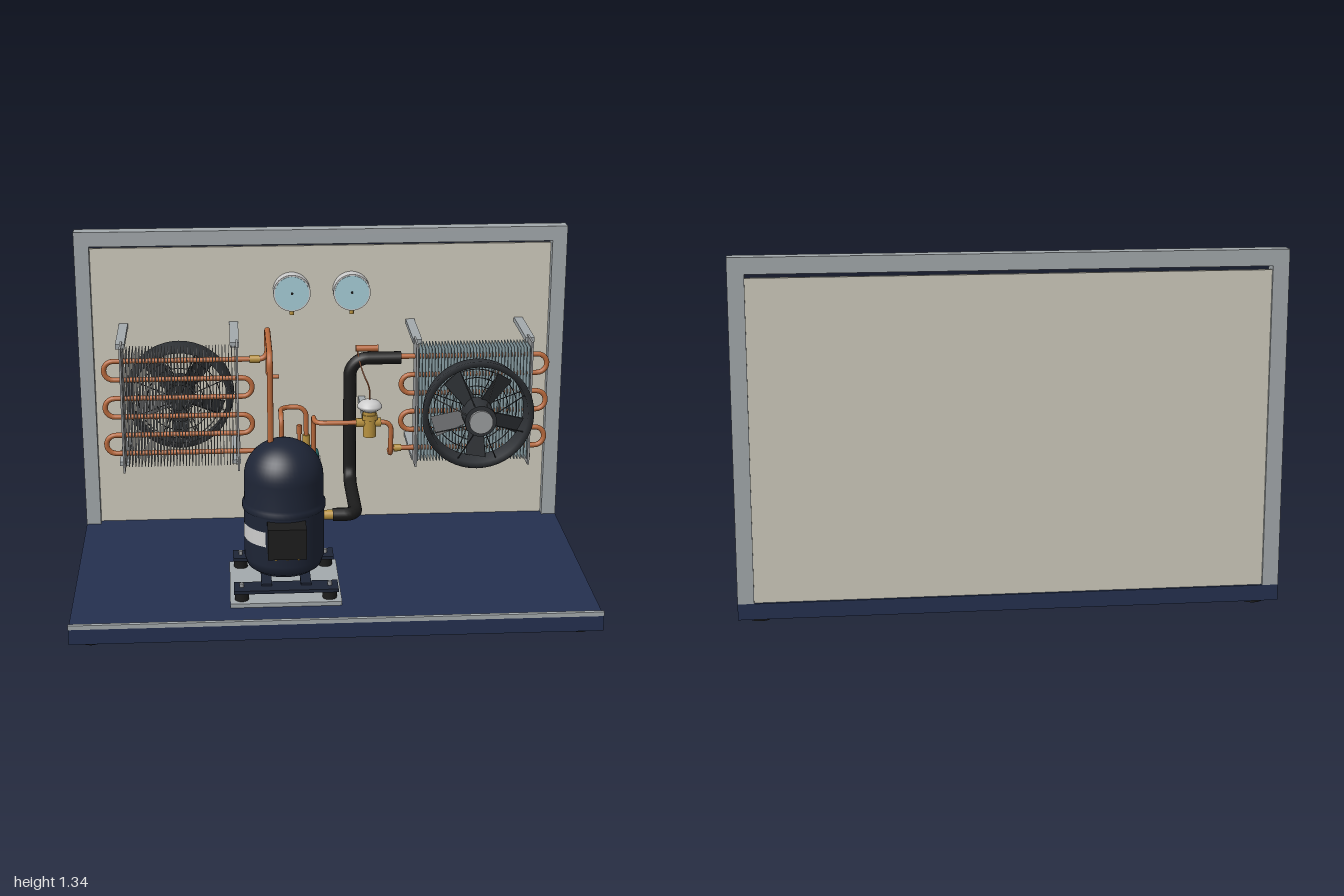
import * as THREE from 'three';

const mat = (color) => new THREE.MeshStandardMaterial({ color });
const M = {
  navy: mat(0x24304f), steel: mat(0xa3a9ac), panel: mat(0xcfcbbd), shell: mat(0x1e2536), black: mat(0x1c1c1c),
  fan: mat(0x2f3236), copper: mat(0xb8693c), brass: mat(0xb8923f), teal: mat(0x1f6a6c), fin: mat(0x9a9c9e),
  coldFin: mat(0x8ea4ab), glass: mat(0xa6cdd8), white: mat(0xdedede), grey: mat(0xcccccc),
};
const V = (p) => new THREE.Vector3(...p);

export function createModel() {
  const root = new THREE.Group();

  const add = (name, geo, m, pos = [0, 0, 0], parent = root) => {
    const mesh = new THREE.Mesh(geo, m);
    mesh.name = name;
    mesh.position.set(...pos);
    parent.add(mesh);
    return mesh;
  };
  // box given by its min and max along each axis
  const box = (name, [x0, x1], [y0, y1], [z0, z1], m, parent = root) =>
    add(name, new THREE.BoxGeometry(x1 - x0, y1 - y0, z1 - z0), m,
      [(x0 + x1) / 2, (y0 + y1) / 2, (z0 + z1) / 2], parent);
  // cylinder between two points
  const rod = (name, a, b, r, m, parent = root, sides = 24, r2 = r) => {
    const A = V(a), B = V(b), d = B.clone().sub(A);
    const c = add(name, new THREE.CylinderGeometry(r2, r, d.length(), sides), m, A.clone().add(B).multiplyScalar(0.5).toArray(), parent);
    c.quaternion.setFromUnitVectors(new THREE.Vector3(0, 1, 0), d.normalize());
    return c;
  };
  // tube along straight runs with rounded bends
  const pipe = (name, pts, r, m, bend = 0.04, parent = root) => {
    const p = pts.map(V), path = new THREE.CurvePath();
    let last = p[0];
    const lineTo = (q) => { if (last.distanceTo(q) > 1e-4) path.add(new THREE.LineCurve3(last, q)); };
    for (let i = 1; i < p.length - 1; i++) {
      const k = Math.min(bend, p[i].distanceTo(p[i - 1]) * 0.49, p[i].distanceTo(p[i + 1]) * 0.49);
      const a = p[i].clone().add(p[i - 1].clone().sub(p[i]).setLength(k));
      const b = p[i].clone().add(p[i + 1].clone().sub(p[i]).setLength(k));
      const ca = a.clone().lerp(p[i], 0.55), cb = b.clone().lerp(p[i], 0.55);
      lineTo(a);
      path.add(new THREE.CubicBezierCurve3(a, ca, cb, b));
      last = b;
    }
    lineTo(p[p.length - 1]);
    return add(name, new THREE.TubeGeometry(path, Math.ceil(path.getLength() / 0.011), r, 12), m, [0, 0, 0], parent);
  };
  const lathe = (name, pts, m, pos, parent = root) =>
    add(name, new THREE.LatheGeometry(pts.map((q) => new THREE.Vector2(...q)), 48), m, pos, parent);

  // base tray, feet and backboard frame
  box('baseTray', [-1, 1], [0.02, 0.08], [-0.54, 0.54], M.navy);
  box('frontLip', [-1, 1], [0.08, 0.097], [0.525, 0.54], M.steel);
  for (const s of [-1, 1]) {
    for (const z of [-0.46, 0.465]) rod('baseFoot', [s * 0.92, 0, z], [s * 0.92, 0.02, z], 0.042, M.black);
    box('framePost', [s * 0.97 - 0.03, s * 0.97 + 0.03], [0.08, 1.28], [-0.54, -0.48], M.steel);
  }
  box('frameTopRail', [-1, 1], [1.28, 1.34], [-0.54, -0.48], M.steel);
  box('backPanel', [-0.94, 0.94], [0.08, 1.265], [-0.53, -0.515], M.panel);

  // pressure gauges
  for (const x of [-0.125, 0.12]) {
    rod('gaugeCase', [x, 1.08, -0.515], [x, 1.08, -0.462], 0.076, M.white, root, 40);
    rod('gaugeFace', [x, 1.08, -0.463], [x, 1.08, -0.458], 0.07, M.glass, root, 40);
    rod('gaugeHub', [x, 1.08, -0.458], [x, 1.08, -0.455], 0.005, M.black, root, 12);
    rod('gaugeStem', [x, 0.985, -0.485], [x, 1.01, -0.485], 0.009, M.brass, root, 12);
  }

  // finned coil with serpentine tube, built for the +x side; s mirrors it
  const Z = -0.185;
  const rows = [0, 1, 2, 3, 4, 5].map((i) => 0.89 - i * 0.077);
  function coil(s, finMat) {
    const g = new THREE.Group();
    g.name = s > 0 ? 'evaporatorCoil' : 'condenserCoil';
    root.add(g);
    const fins = 36;
    for (let i = 0; i < fins; i++) {
      const x = s * (0.363 + (i * 0.44) / (fins - 1));
      box('fin', [x - 0.0015, x + 0.0015], [0.465, 0.935], [Z - 0.054, Z + 0.054], finMat, g);
    }
    for (const c of [0.355, 0.811]) {
      box('endPlate', [s * c - 0.004, s * c + 0.004], [0.44, 0.955], [Z - 0.056, Z + 0.056], M.fin, g);
      const ax = s * (c < 0.5 ? 0.364 : 0.815);
      for (const [y0, y1] of [[0.93, 0.95], [0.44, 0.456]])
        box('supportArm', [ax - 0.018, ax + 0.018], [y0, y1], [-0.515, -0.215], M.steel, g);
    }
    const pts = [];
    rows.forEach((y, i) => {
      const inner = i === 0 || i === 5 ? 0.26 : 0.297;
      const ends = i % 2 ? [0.88, inner] : [inner, 0.88];
      ends.forEach((x) => pts.push([s * x, y, Z]));
    });
    pipe('serpentineTube', pts, 0.0105, M.copper, 0.038, g);
  }
  coil(1, M.coldFin);
  coil(-1, M.fin);

  // axial fan facing local +z
  function fan(name, x, turn) {
    const g = new THREE.Group();
    g.name = name;
    g.position.set(x, 0.695, -0.19);
    g.rotation.y = turn;
    root.add(g);
    const ring = lathe('fanShroud', [[0.19, 0.103], [0.211, 0.103], [0.221, 0.178], [0.197, 0.178], [0.19, 0.103]], M.fan, [0, 0, 0], g);
    ring.rotation.x = Math.PI / 2;
    ring.scale.y = 1;
    rod('fanMotor', [0, 0, 0.13], [0, 0, 0.25], 0.062, M.fan, g, 32);
    rod('motorCap', [0, 0, 0.25], [0, 0, 0.264], 0.046, M.fin, g, 32);
    for (let i = 0; i < 5; i++) {
      const arm = new THREE.Group();
      arm.name = 'fanBlade';
      arm.rotation.z = (Math.PI * 2 * i) / 5 + Math.PI;
      g.add(arm);
      const shape = new THREE.Shape([[-0.027, 0.04], [0.027, 0.04], [0.041, 0.18], [-0.041, 0.18]].map((q) => new THREE.Vector2(...q)));
      const geo = new THREE.ExtrudeGeometry(shape, { depth: 0.005, bevelEnabled: false });
      add('blade', geo, M.fan, [0, 0, 0.14], arm).rotation.y = 0.45;
    }
    // wire guards
    for (let i = 0; i < 8; i++) {
      const a = ((i + 0.5) * Math.PI) / 4, c = Math.cos(a), d = Math.sin(a);
      rod('guardSpoke', [c * 0.2, d * 0.2, 0.165], [c * 0.06, d * 0.06, 0.235], 0.0025, M.fan, g, 6);
      rod('rearSpoke', [c * 0.195, d * 0.195, 0.108], [c * 0.03, d * 0.03, 0.095], 0.002, M.fan, g, 6);
    }
    for (const r of [0.06, 0.095, 0.13, 0.165])
      add('guardRing', new THREE.TorusGeometry(r, 0.002, 6, 48), M.fan, [0, 0, 0.096], g);
  }
  fan('evaporatorFan', 0.585, 0);
  fan('condenserFan', -0.588, Math.PI);

  // compressor mount
  const cx = -0.187, cz = 0.187;
  box('mountPlate', [-0.4, 0.025], [0.08, 0.096], [-0.015, 0.385], M.steel);
  for (const z of [0.34, 0.03]) {
    box('mountRail', [-0.385, 0.012], [0.134, 0.147], [z - 0.043, z + 0.043], M.shell);
    for (const x of [-0.355, -0.02]) {
      rod('rubberMount', [x, 0.096, z], [x, 0.134, z], 0.027, M.black);
      rod('mountBolt', [x, 0.134, z], [x, 0.162, z], 0.009, M.fin, root, 6);
    }
  }
  for (const x of [-0.26, -0.11]) box('mountBridge', [x - 0.02, x + 0.02], [0.14, 0.155], [0.03, 0.34], M.shell);

  // compressor shell
  const prof = [[0, 0.15], [0.07, 0.153], [0.115, 0.165], [0.142, 0.185], [0.154, 0.22], [0.154, 0.412], [0.16, 0.418], [0.16, 0.438], [0.152, 0.446]];
  for (let i = 0; i <= 12; i++) {
    const a = (i / 12) * Math.PI / 2;
    prof.push([Math.cos(a) * 0.152, 0.54 + Math.sin(a) * 0.145]);
  }
  lathe('compressorShell', prof, M.shell, [cx, 0, cz]);
  box('terminalBox', [-0.255, -0.11], [0.285, 0.405], [0.32, 0.412], M.black);
  for (const x of [-0.225, -0.183, -0.14]) rod('boxScrew', [x, 0.28, 0.4], [x, 0.29, 0.4], 0.007, M.brass, root, 10);
  const label = new THREE.CylinderGeometry(0.1555, 0.1555, 0.06, 20, 1, true, -1.5, 1);
  add('blankPlate', label, M.grey, [cx, 0.33, cz]);
  rod('serviceTube', [-0.125, 0.63, 0.157], [-0.125, 0.7, 0.157], 0.007, M.copper, root, 12);
  rod('serviceCap', [-0.125, 0.695, 0.157], [-0.125, 0.73, 0.157], 0.01, M.copper, root, 12);

  // discharge line to condenser
  pipe('dischargeLine', [[-0.235, 0.64, cz], [-0.235, 1.02, cz], [-0.235, 1.02, Z], [-0.235, 0.89, Z], [-0.3, 0.89, Z]], 0.0115, M.copper, 0.05);
  rod('condenserFitting', [-0.305, 0.89, Z], [-0.265, 0.89, Z], 0.016, M.brass);
  pipe('lowerStub', [[-0.235, 0.9, Z], [-0.235, 0.815, Z], [-0.19, 0.815, Z]], 0.008, M.copper, 0.02);

  // filter drier with wall brackets
  const fx = -0.077, fz = -0.307;
  lathe('filterDrier', [[0, 0.188], [0.045, 0.188], [0.053, 0.197], [0.053, 0.44], [0.048, 0.458], [0.034, 0.47], [0.012, 0.477], [0, 0.477]], M.teal, [fx, 0, fz]);
  for (const y of [0.218, 0.342]) {
    rod('clampBand', [fx, y - 0.005, fz], [fx, y + 0.005, fz], 0.056, M.fin, root, 40);
    box('filterBracket', [-0.145, -0.01], [y - 0.013, y + 0.013], [-0.515, -0.345], M.steel);
  }
  pipe('condenserOutlet', [[-0.26, rows[5], Z], [-0.182, rows[5], Z], [-0.182, 0.645, Z], [-0.182, 0.645, fz], [fx, 0.645, fz], [fx, 0.47, fz]], 0.01, M.copper);
  rod('filterInlet', [fx, 0.475, fz], [fx, 0.525, fz], 0.015, M.brass);
  rod('filterOutlet', [-0.06, 0.42, -0.265], [-0.053, 0.42, -0.235], 0.015, M.brass);

  // liquid line and expansion valve
  const vx = 0.165, vz = -0.1, vy = 0.645;
  pipe('liquidLine', [[-0.053, 0.42, -0.24], [-0.053, 0.42, -0.205], [-0.053, vy, -0.205], [-0.053, vy, vz], [vx, vy, vz]], 0.01, M.copper);
  pipe('valveOutlet', [[vx, vy, vz], [0.25, vy, vz], [0.25, rows[5], vz], [0.25, rows[5], Z], [0.3, rows[5], Z]], 0.01, M.copper, 0.03);
  rod('evaporatorFitting', [0.27, rows[5], Z], [0.3, rows[5], Z], 0.015, M.brass);
  rod('valveBody', [vx, 0.588, vz], [vx, 0.7, vz], 0.026, M.brass);
  rod('valveNuts', [vx - 0.055, vy, vz], [vx + 0.045, vy, vz], 0.018, M.brass, root, 6);
  rod('valveCollar', [vx, 0.66, vz], [vx, 0.68, vz], 0.034, M.brass, root, 6);
  lathe('valveHead', [[0, 0.695], [0.03, 0.695], [0.048, 0.708], [0.048, 0.718], [0.036, 0.732], [0.015, 0.74], [0, 0.741]], M.white, [vx, 0, vz]);
  box('valveArm', [vx - 0.014, vx + 0.014], [0.59, 0.618], [-0.515, -0.11], M.steel);
  pipe('capillary', [[vx, 0.735, vz], [vx, 0.79, vz], [0.145, 0.83, -0.11], [0.13, 0.87, -0.16], [0.12, 0.925, Z]], 0.003, M.copper, 0.03);
  rod('sensingBulb', [0.115, 0.926, Z], [0.205, 0.926, Z], 0.013, M.copper);

  // insulated suction line back to compressor
  pipe('suctionLine', [[0.295, 0.885, Z], [0.092, 0.885, Z], [0.092, 0.372, Z], [0.092, 0.372, cz], [0.0, 0.372, cz]], 0.026, M.black, 0.07);
  rod('suctionFitting', [-0.05, 0.372, cz], [0.005, 0.372, cz], 0.019, M.brass);

  return root;
}
